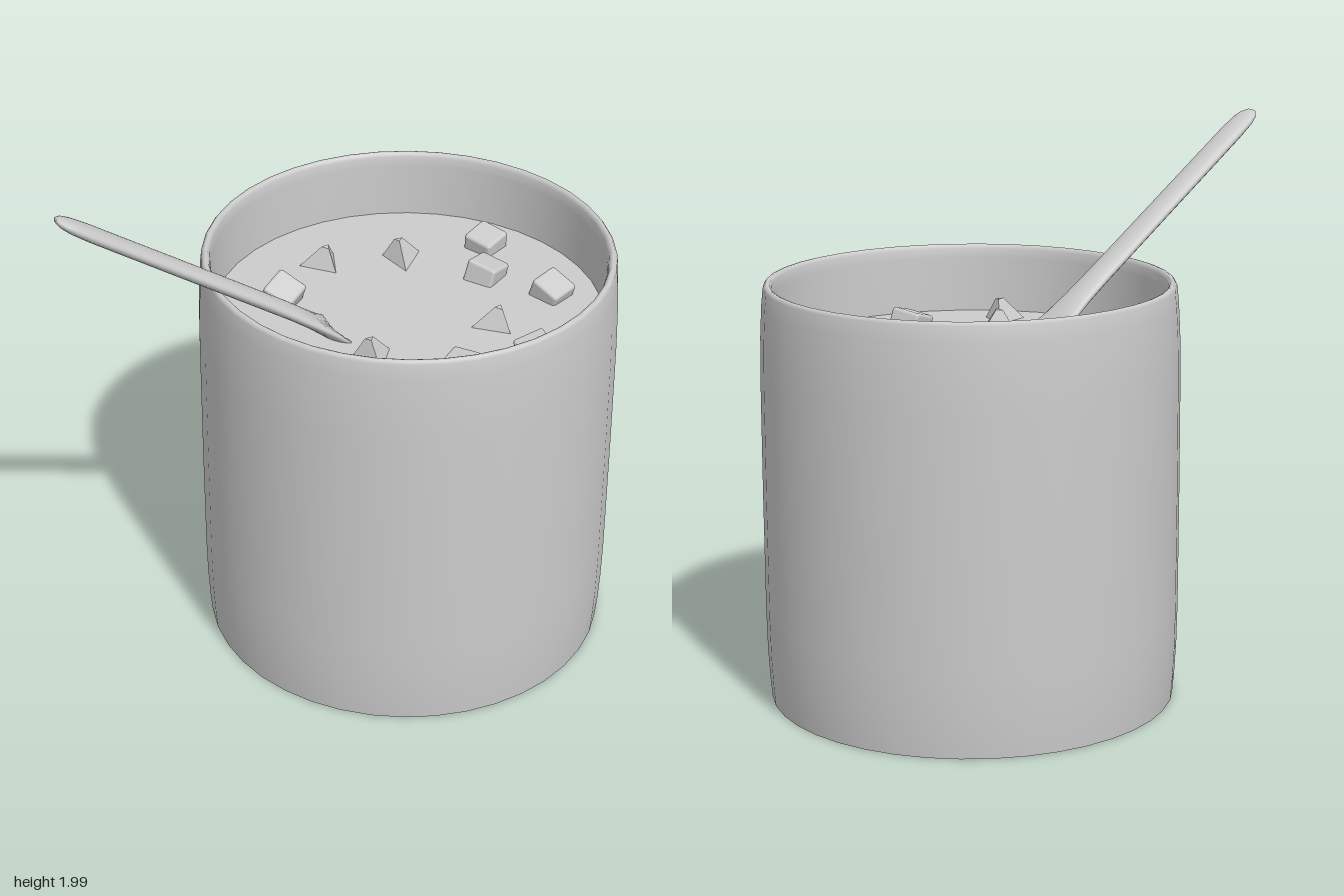
import * as THREE from 'three';
import { RoundedBoxGeometry } from 'three/addons/geometries/RoundedBoxGeometry.js';
import { ConvexGeometry } from 'three/addons/geometries/ConvexGeometry.js';

const CUP_X = 0.24, LIQUID_Y = 1.25, SIDES = 40;
const grey = new THREE.MeshStandardMaterial({ color: 0xcccccc });
const faceted = new THREE.MeshStandardMaterial({ color: 0xcccccc, flatShading: true });

function lathe(name, profile) {
  const points = profile.map(([r, y]) => new THREE.Vector2(r, y));
  const mesh = new THREE.Mesh(new THREE.LatheGeometry(points, SIDES), grey);
  mesh.name = name;
  mesh.position.x = CUP_X;
  return mesh;
}

// Spoon: elliptical rings along a slanted axis, dished where the bowl widens
function spoonGeometry() {
  const tip = new THREE.Vector3(-0.965, 1.98, 0.482);
  const dir = new THREE.Vector3(-0.03, LIQUID_Y, 0.085).sub(tip).normalize();
  const across = new THREE.Vector3(-dir.z, 0, dir.x).normalize();
  const up = new THREE.Vector3().crossVectors(across, dir);
  // [distance, half width, half thickness, dish depth]
  const rings = [
    [-0.015, 0.001, 0.001, 0], [-0.01, 0.024, 0.01, 0], [0.01, 0.042, 0.017, 0], [0.045, 0.052, 0.022, 0],
    [0.12, 0.055, 0.025, 0], [0.5, 0.056, 0.026, 0], [0.9, 0.058, 0.026, 0], [1.02, 0.064, 0.025, 0],
    [1.12, 0.077, 0.023, 0.005], [1.21, 0.094, 0.021, 0.015], [1.3, 0.125, 0.019, 0.035],
    [1.42, 0.145, 0.017, 0.055], [1.54, 0.13, 0.016, 0.045], [1.62, 0.085, 0.014, 0.02], [1.66, 0.001, 0.001, 0],
  ];
  const n = 20, pos = [], index = [];
  rings.forEach(([t, w, h, dish], i) => {
    for (let j = 0; j < n; j++) {
      const a = (j / n) * Math.PI * 2, c = Math.cos(a), s = Math.sin(a);
      const p = tip.clone().addScaledVector(dir, t)
        .addScaledVector(across, w * s).addScaledVector(up, h * c - dish * (1 - s * s));
      pos.push(p.x, p.y, p.z);
      if (i < rings.length - 1) {
        const k = (j + 1) % n, a0 = i * n + j, b0 = i * n + k;
        index.push(a0, b0, a0 + n, b0, b0 + n, a0 + n);
      }
    }
  });
  const geo = new THREE.BufferGeometry();
  geo.setAttribute('position', new THREE.Float32BufferAttribute(pos, 3));
  geo.setIndex(index);
  geo.computeVertexNormals();
  return geo;
}

// Pyramid chunk with each corner cut back
function wedgeGeometry() {
  const corners = [new THREE.Vector3(0, 0.085, 0)];
  for (let i = 0; i < 3; i++) {
    const a = (i * Math.PI * 2) / 3;
    corners.push(new THREE.Vector3(0.105 * Math.cos(a), -0.045, 0.105 * Math.sin(a)));
  }
  const points = [];
  corners.forEach((p) => corners.forEach((q) => {
    if (p !== q) points.push(p.clone().lerp(q, 0.16));
  }));
  return new ConvexGeometry(points);
}

export function createModel() {
  const model = new THREE.Group();

  // Cup: gently barrelled wall, rounded lip, flat base
  model.add(lathe('cupWall', [
    [0.722, 0], [0.728, 0.07], [0.734, 0.18], [0.737, 0.32], [0.738, 0.75], [0.737, 1.18],
    [0.734, 1.32], [0.728, 1.43], [0.722, 1.488], [0.715, 1.498], [0.707, 1.5], [0.699, 1.497],
    [0.693, 1.485], [0.69, 1.45], [0.69, 1.2],
  ]));
  model.add(lathe('cupBase', [[0, 0], [0.722, 0]]));
  model.add(lathe('liquid', [[0.692, LIQUID_Y], [0, LIQUID_Y]]));

  const spoon = new THREE.Mesh(spoonGeometry(), grey);
  spoon.name = 'spoon';
  model.add(spoon);

  // Floating chunks
  const chunks = new THREE.Group();
  chunks.name = 'chunks';
  const addChunk = (name, geo, mat, x, y, z, tiltX, yaw, tiltZ) => {
    const mesh = new THREE.Mesh(geo, mat);
    mesh.name = name;
    mesh.position.set(x, y, z);
    mesh.rotation.set(tiltX, yaw, tiltZ, 'YXZ');
    chunks.add(mesh);
  };

  const cube = new RoundedBoxGeometry(0.115, 0.115, 0.115, 2, 0.012);
  // x, z, height above the liquid, yaw, tilts
  [
    [-0.19, -0.12, 0.025, 0.95, 0.4, 0.3],
    [0.59, -0.4, 0.005, 0.75, 0.12, 0.15],
    [0.55, -0.19, 0.005, 0.85, 0.15, -0.2],
    [0.76, -0.04, 0.005, 0.7, 0.35, 0.1],
    [0.63, 0.35, 0.005, 0.2, 0.1, 0.3],
    [0.36, 0.42, 0.005, 0.75, -0.15, 0.25],
  ].forEach(([x, z, h, yaw, tx, tz]) => addChunk('cubeChunk', cube, grey, x, LIQUID_Y + h, z, tx, yaw, tz));

  const wedge = wedgeGeometry();
  // x, z, direction of one corner in degrees
  [[-0.01, -0.35, 182], [0.27, -0.355, 88], [0.53, 0.14, 178], [0.07, 0.29, 80], [0, 0.47, 172]]
    .forEach(([x, z, deg], i) => addChunk('wedgeChunk', wedge, faceted, x, LIQUID_Y + 0.015, z,
      i % 2 ? 0.12 : -0.1, -THREE.MathUtils.degToRad(deg), 0.1));
  model.add(chunks);

  return model;
}
